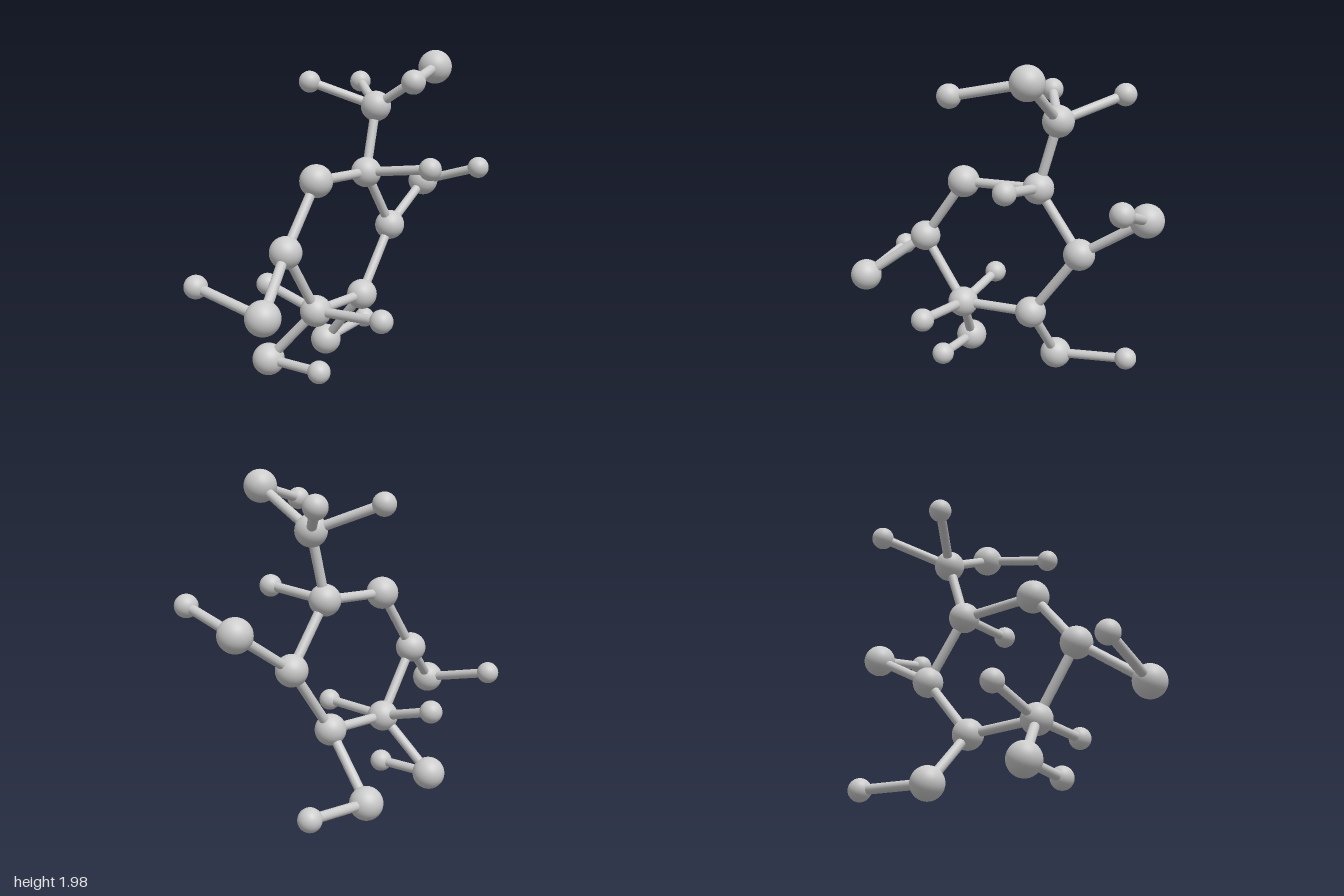
import * as THREE from 'three';

const RADIUS = { carbon: 0.094, oxygen: 0.098, hydrogen: 0.068 };
const BOND_RADIUS = 0.029;

// Atom positions: [x, y, z], keyed by a short label whose letter gives the element
const ATOMS = {
  // six-membered ring
  O5: [-0.066, 1.238, 0.262], C1: [-0.066, 0.867, 0.541], C2: [-0.066, 0.466, 0.274],
  C3: [-0.066, 0.466, -0.192], C4: [-0.066, 0.864, -0.5], C5: [-0.066, 1.236, -0.235],
  // side arms
  C6: [-0.076, 1.636, -0.352], O6: [0.35, 1.882, -0.347], O1: [0.079, 0.6, 0.902],
  O2: [-0.359, 0.136, 0.37], O3: [-0.385, 0.1, -0.229], O4: [-0.066, 1.108, -0.902],
  // hydrogens
  H1: [-0.41, 0.694, 0.905], H2: [0.03, 0.135, 0.37], H3: [-0.404, 0.131, -0.694],
  H4: [0.357, 1.227, -0.895], H5: [0.395, 1.288, -0.236], H6: [0.462, 1.808, 0.064],
  H7: [-0.445, 1.783, -0.157], H8: [-0.403, 1.773, -0.641],
  H9: [-0.469, 0.562, 0.245], H10: [0.411, 0.49, 0.287],
};

const BONDS = [
  'O5 C1', 'C1 C2', 'C2 C3', 'C3 C4', 'C4 C5', 'C5 O5',
  'C5 C6', 'C6 O6', 'C1 O1', 'C2 O2', 'C3 O3', 'C4 O4',
  'O1 H1', 'O2 H2', 'O3 H3', 'O4 H4', 'C5 H5', 'O6 H6',
  'C6 H7', 'C6 H8', 'C2 H9', 'C2 H10',
];

const ELEMENTS = { C: 'carbon', O: 'oxygen', H: 'hydrogen' };

export function createModel() {
  const model = new THREE.Group();
  model.name = 'ballAndStickMolecule';
  const material = new THREE.MeshStandardMaterial({ color: 0xcccccc });
  const ball = new THREE.SphereGeometry(1, 40, 24);
  const stick = new THREE.CylinderGeometry(BOND_RADIUS, BOND_RADIUS, 1, 24);

  // Balls
  for (const [label, position] of Object.entries(ATOMS)) {
    const element = ELEMENTS[label[0]];
    const atom = new THREE.Mesh(ball, material);
    atom.name = `${element}Atom${label}`;
    atom.position.set(...position);
    atom.scale.setScalar(RADIUS[element]);
    model.add(atom);
  }

  // Sticks, each stretched between two ball centres
  const up = new THREE.Vector3(0, 1, 0);
  for (const pair of BONDS) {
    const [from, to] = pair.split(' ').map((label) => new THREE.Vector3(...ATOMS[label]));
    const span = to.clone().sub(from);
    const bond = new THREE.Mesh(stick, material);
    bond.name = `bond${pair.replace(' ', 'To')}`;
    bond.position.copy(from).addScaledVector(span, 0.5);
    bond.scale.y = span.length();
    bond.quaternion.setFromUnitVectors(up, span.normalize());
    model.add(bond);
  }
  return model;
}
